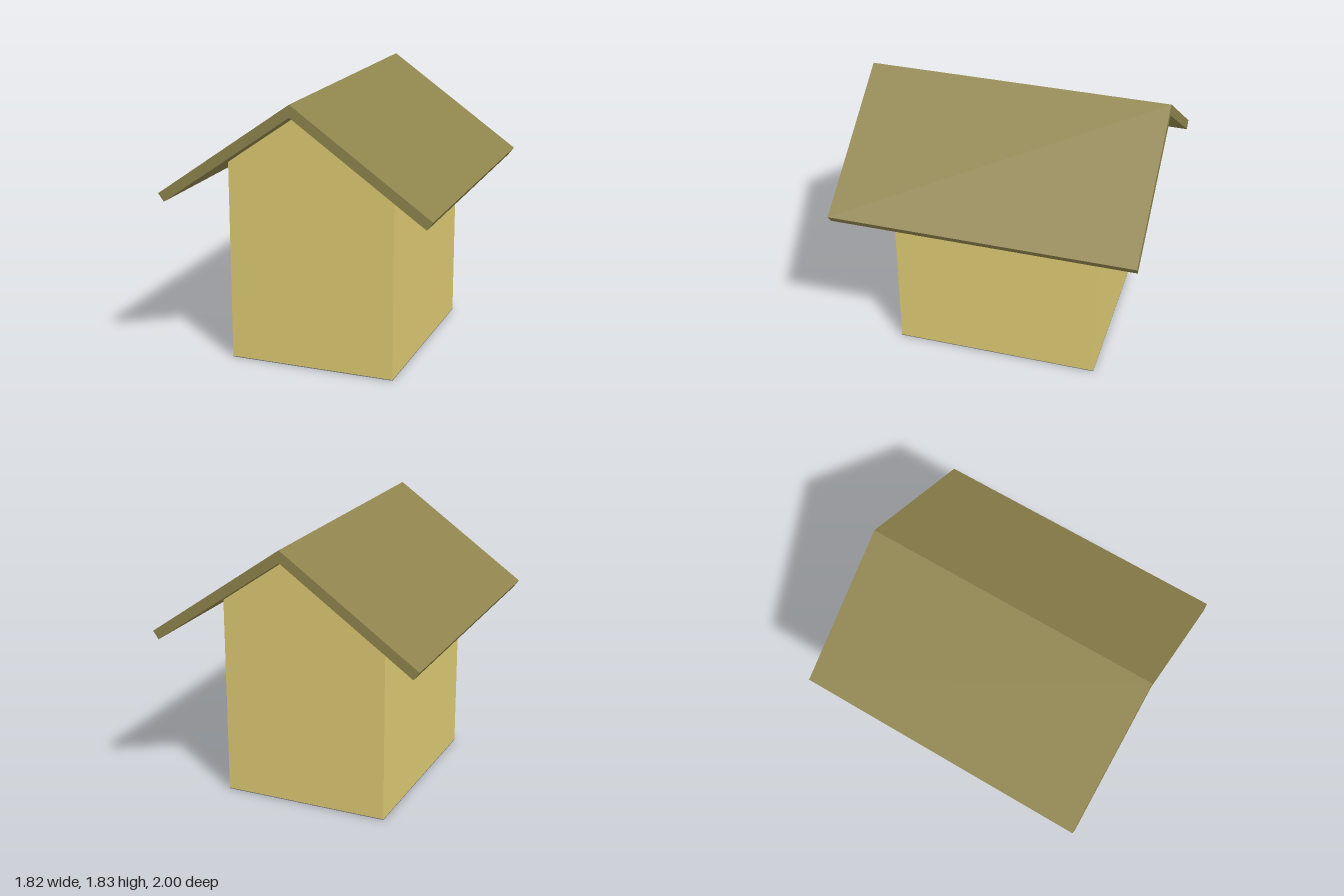
import * as THREE from 'three';

// Extrude a front-facing outline along z, centred on z = 0
function prism(name, points, depth, color) {
  const shape = new THREE.Shape(points.map(([x, y]) => new THREE.Vector2(x, y)));
  const geometry = new THREE.ExtrudeGeometry(shape, { depth, bevelEnabled: false });
  geometry.translate(0, 0, -depth / 2);
  const mesh = new THREE.Mesh(geometry, new THREE.MeshStandardMaterial({ color, flatShading: true }));
  mesh.name = name;
  return mesh;
}

export function createModel() {
  const house = new THREE.Group();
  house.name = 'house';

  const halfWidth = 0.565, depth = 1.38, floorTop = 0.005;
  const innerRidge = 1.745, outerRidge = 1.825, pitch = 0.7;
  const wallTop = innerRidge - halfWidth * pitch;

  // Walls with gabled front and back
  house.add(prism('walls', [
    [-halfWidth, floorTop], [halfWidth, floorTop], [halfWidth, wallTop],
    [0, innerRidge], [-halfWidth, wallTop],
  ], depth, 0xdcc973));

  // Thin floor plate
  house.add(prism('floor', [
    [-halfWidth, 0], [halfWidth, 0], [halfWidth, floorTop], [-halfWidth, floorTop],
  ], depth, 0x777777));

  // Two roof slabs mitred at the ridge, eaves cut square to the slope
  const slab = [[0, innerRidge], [0.872, 1.135], [0.91, 1.188], [0, outerRidge]];
  house.add(prism('roofLeft', slab, 2, 0x8f844d));
  house.add(prism('roofRight', slab.map(([x, y]) => [-x, y]).reverse(), 2, 0x8f844d));

  return house;
}
